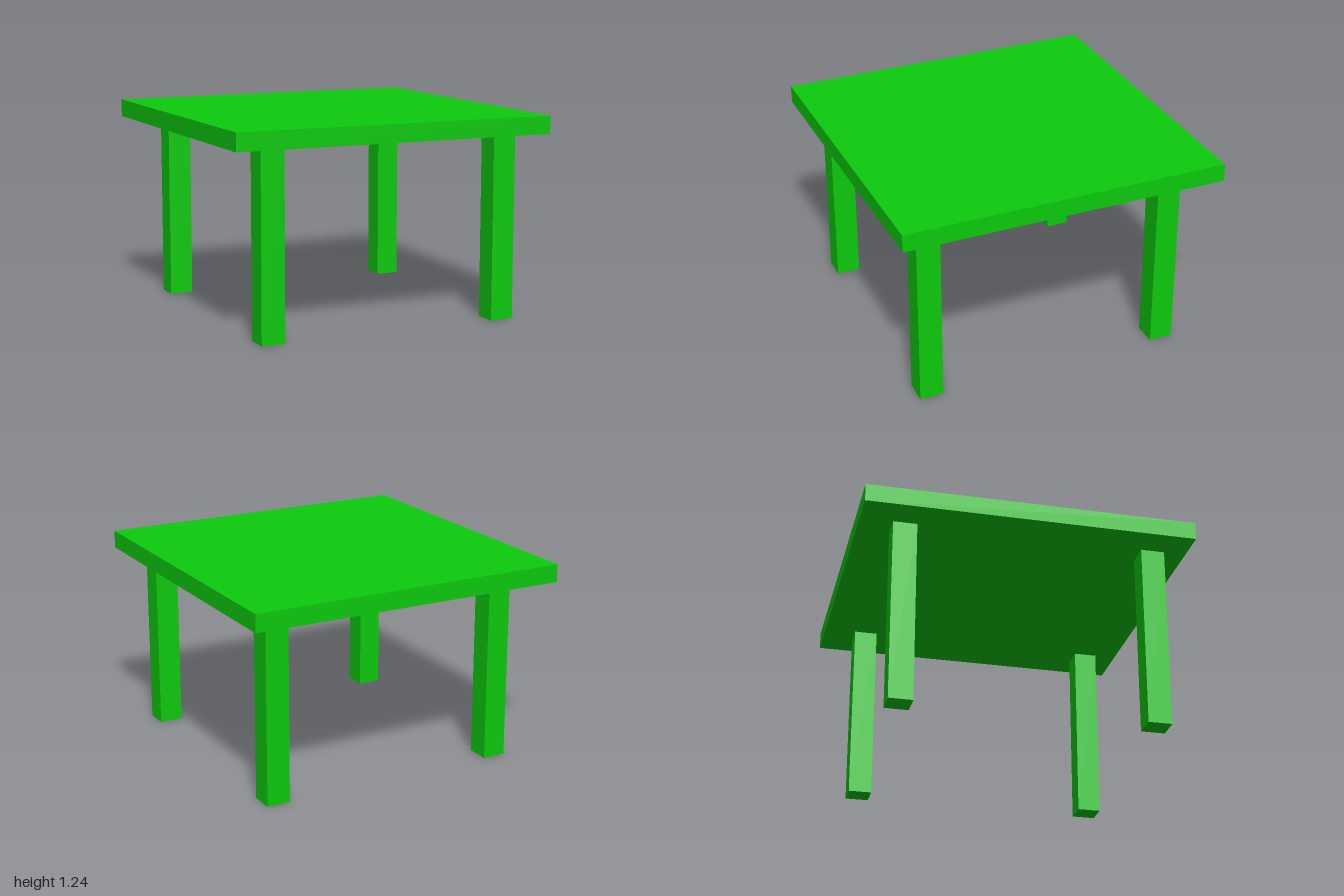
import * as THREE from 'three';

export function createModel() {
  const table = new THREE.Group();
  table.name = 'table';
  const green = new THREE.MeshStandardMaterial({ color: 0x0dcb0d });

  const addBox = (name, width, height, depth, x, bottom, z) => {
    const mesh = new THREE.Mesh(new THREE.BoxGeometry(width, height, depth), green);
    mesh.name = name;
    mesh.position.set(x, bottom + height / 2, z);
    table.add(mesh);
  };

  const legHeight = 1.133;
  const legWidth = 0.145;

  // Square slab top
  addBox('tableTop', 2, 0.109, 2, 0, legHeight, 0);

  // Four square legs, set slightly off-centre towards the front left
  for (const [side, x] of [['Right', -0.728], ['Left', 0.77]]) {
    for (const [end, z] of [['front', 0.792], ['back', -0.73]]) {
      addBox(`${end}${side}Leg`, legWidth, legHeight, legWidth, x, 0, z);
    }
  }

  return table;
}
